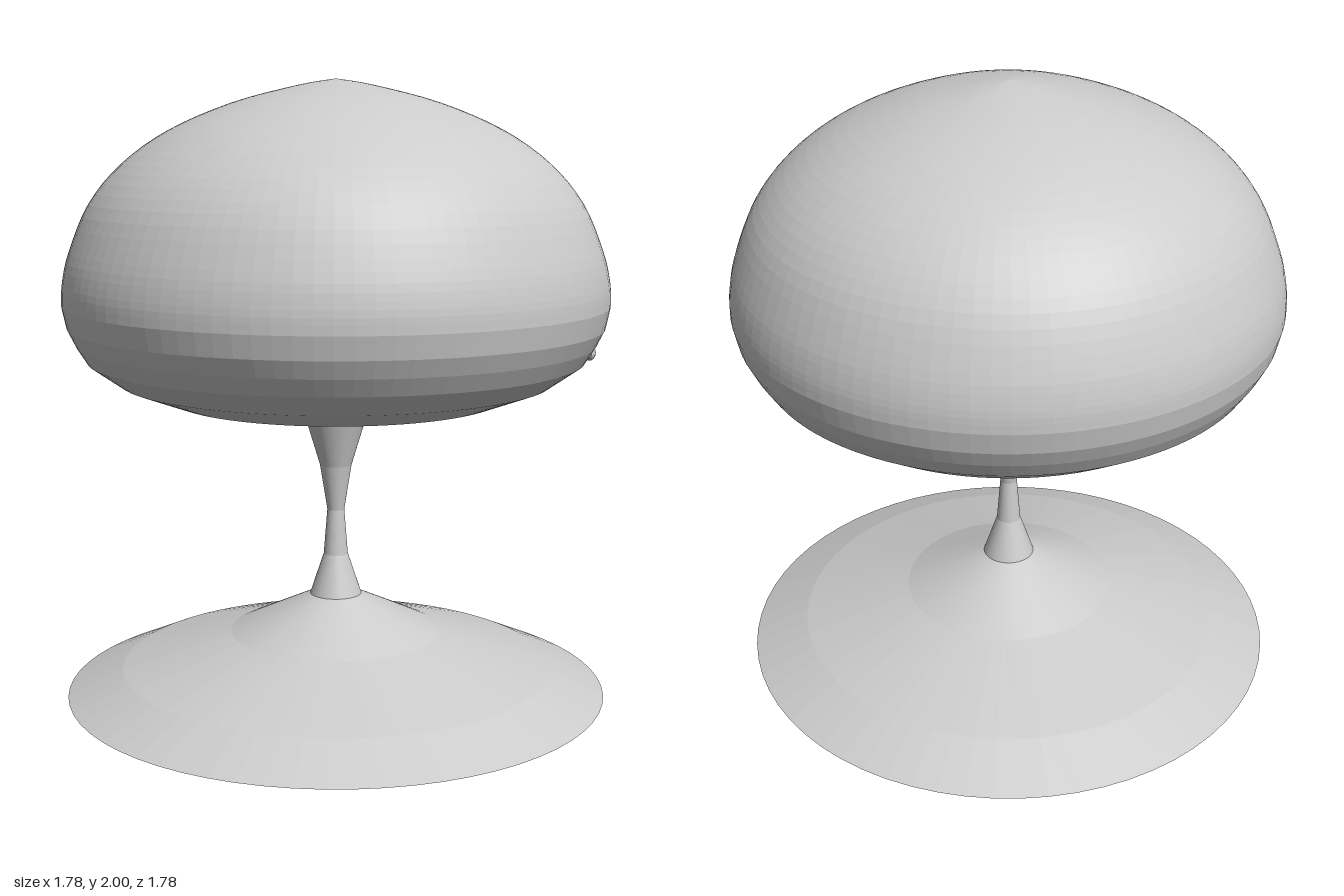
import * as THREE from 'three';

const material = new THREE.MeshStandardMaterial({
  color: 0xcccccc, flatShading: true, side: THREE.DoubleSide,
});

// Revolves a profile of [radius, height] pairs, listed from bottom to top
function lathe(name, profile, segments = 64) {
  const points = profile.map(([r, y]) => new THREE.Vector2(r, y));
  const mesh = new THREE.Mesh(new THREE.LatheGeometry(points, segments), material);
  mesh.name = name;
  return mesh;
}

export function createModel() {
  const lamp = new THREE.Group();
  lamp.name = 'tableLamp';

  // Hollow, flared foot, open below
  lamp.add(lathe('base', [[0.89, 0], [0.71, 0.08], [0.35, 0.19], [0.085, 0.315]]));

  // Hourglass stem
  lamp.add(lathe('stem', [
    [0.085, 0.315], [0.04, 0.45], [0.028, 0.6], [0.052, 0.75],
    [0.097, 0.9], [0.145, 0.98], [0.187, 1.045],
  ]));

  // Mushroom shade: broad bands below, fine rings over the dome
  const shadeGroup = new THREE.Group();
  shadeGroup.name = 'shadeGroup';
  shadeGroup.position.z = 0.012;
  const dome = new THREE.SplineCurve([
    [0.877, 1.29], [0.874, 1.36], [0.85, 1.46], [0.785, 1.61],
    [0.68, 1.735], [0.53, 1.84], [0.33, 1.925], [0.12, 1.98], [0, 2],
  ].map(([r, y]) => new THREE.Vector2(r, y)));
  const domePoints = dome.getPoints(32).map((p) => [Math.max(p.x, 0), p.y]);
  shadeGroup.add(lathe('shade', [
    [0.54, 0.98], [0.7, 1.04], [0.8, 1.11], [0.835, 1.165], [0.862, 1.22], ...domePoints,
  ], 96));

  // Shallow recessed underside with a hole for the stem
  shadeGroup.add(lathe('shadeUnderside', [[0.54, 0.98], [0.195, 1.048]], 96));
  lamp.add(shadeGroup);

  // Small raised switch on the side of the shade
  const knob = new THREE.Mesh(new THREE.SphereGeometry(1, 16, 10), material);
  knob.name = 'switch';
  knob.scale.set(0.02, 0.025, 0.045);
  knob.position.set(0.79, 1.145, 0.21);
  knob.rotation.y = -0.25;
  lamp.add(knob);

  return lamp;
}
